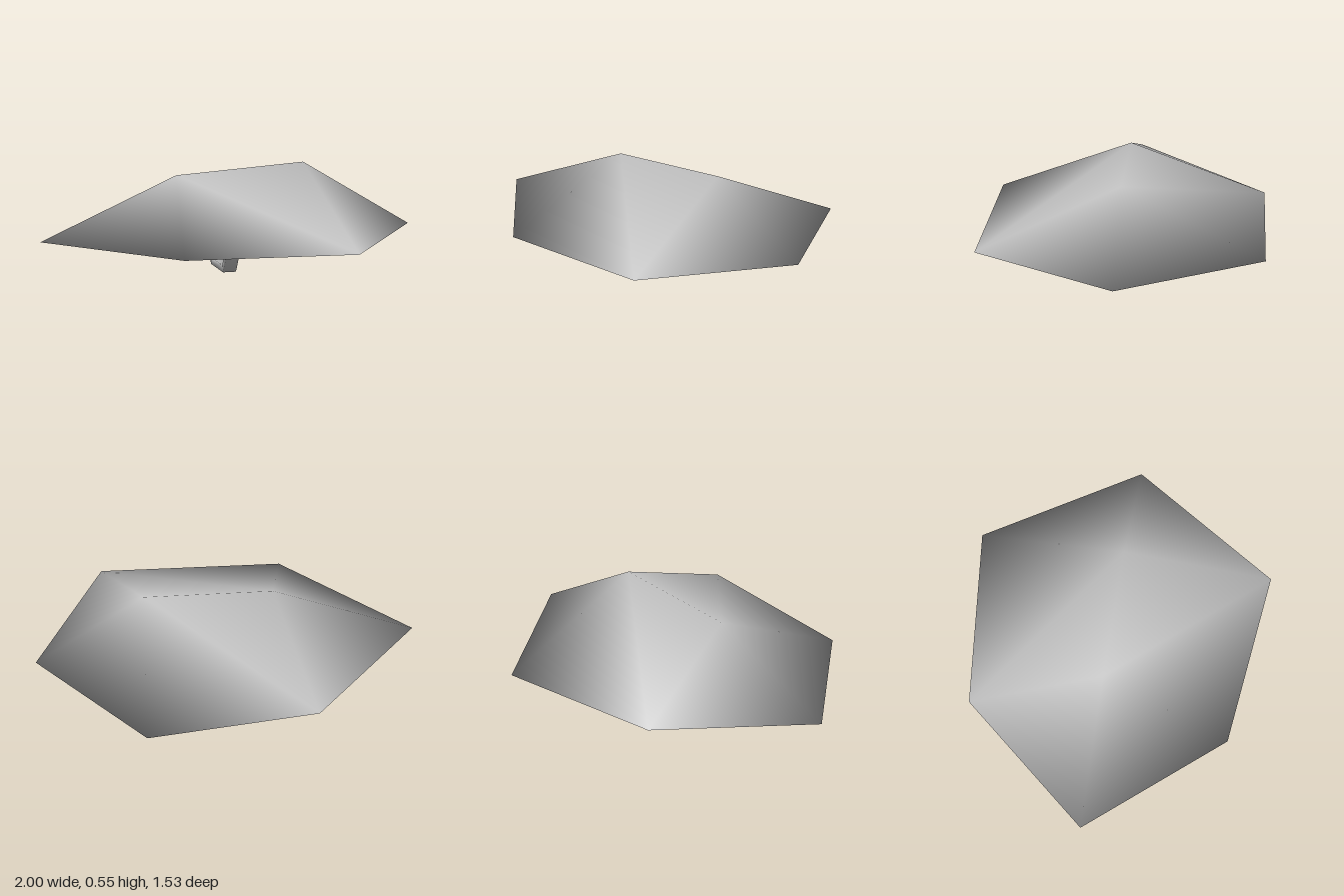
import * as THREE from 'three';

const grey = new THREE.MeshStandardMaterial({ color: 0xc4c4c4 });
grey.name = 'plain grey';

// Indexed smooth mesh; every face counts equally in its corners' normals
function smoothMesh(name, points, index) {
  const corners = points.map((p) => new THREE.Vector3(...p));
  const normals = points.map(() => new THREE.Vector3());
  const face = new THREE.Triangle();
  const n = new THREE.Vector3();
  for (let i = 0; i < index.length; i += 3) {
    const tri = index.slice(i, i + 3);
    face.set(...tri.map((k) => corners[k])).getNormal(n);
    tri.forEach((k) => normals[k].add(n));
  }
  const geo = new THREE.BufferGeometry();
  geo.setAttribute('position', new THREE.Float32BufferAttribute(points.flat(), 3));
  geo.setAttribute('normal', new THREE.Float32BufferAttribute(
    normals.flatMap((v) => v.normalize().toArray()), 3));
  geo.setIndex(index);
  const mesh = new THREE.Mesh(geo, grey);
  mesh.name = name;
  return mesh;
}

// Six-sided plate rising to a short ridge, with a shallower hollow underneath
function createShield() {
  const rim = [[-1, 0], [-0.4, 0.685], [0.53, 0.765], [1, 0], [0.53, -0.77], [-0.4, -0.69]];
  const points = rim.map(([x, z]) => [x, 0.19, z]);
  points.push([-0.26, 0.51, 0], [0.43, 0.547, 0]); // outer ridge: 6 and 7
  points.push([-0.26, 0.34, 0], [0.43, 0.43, 0]); // hollow's ridge: 8 and 9
  const outside = [0, 1, 6, 1, 2, 6, 2, 7, 6, 2, 3, 7, 3, 4, 7, 4, 5, 7, 5, 6, 7, 5, 0, 6];
  const hollow = [1, 0, 8, 2, 1, 9, 9, 1, 8, 3, 2, 9, 4, 3, 9, 5, 4, 8, 8, 4, 9, 0, 5, 8];
  return smoothMesh('shieldPlate', points, [...outside, ...hollow]);
}

// Bent bar grip: a rectangular section swept through mitred bends, ends set into the plate
function createHandle() {
  const w = 0.035;
  const outer = [[0.332, 0.33], [0.11, 0], [-0.13, 0], [-0.347, 0.33]];
  const inner = [[0.282, 0.33], [0.092, 0.035], [-0.108, 0.035], [-0.299, 0.33]];
  const points = [];
  const index = [];
  outer.forEach(([zo, yo], i) => {
    const [zi, yi] = inner[i];
    points.push([w, yo, zo], [w, yi, zi], [-w, yi, zi], [-w, yo, zo]);
    if (i === 0) return;
    for (let j = 0; j < 4; j++) {
      const k = (j + 1) % 4;
      const a = (i - 1) * 4 + j, b = (i - 1) * 4 + k, c = i * 4 + k, d = i * 4 + j;
      index.push(a, d, c, a, c, b);
    }
  });
  return smoothMesh('handle', points, index);
}

export function createModel() {
  const model = new THREE.Group();
  model.name = 'shield';
  model.add(createShield(), createHandle());
  return model;
}
